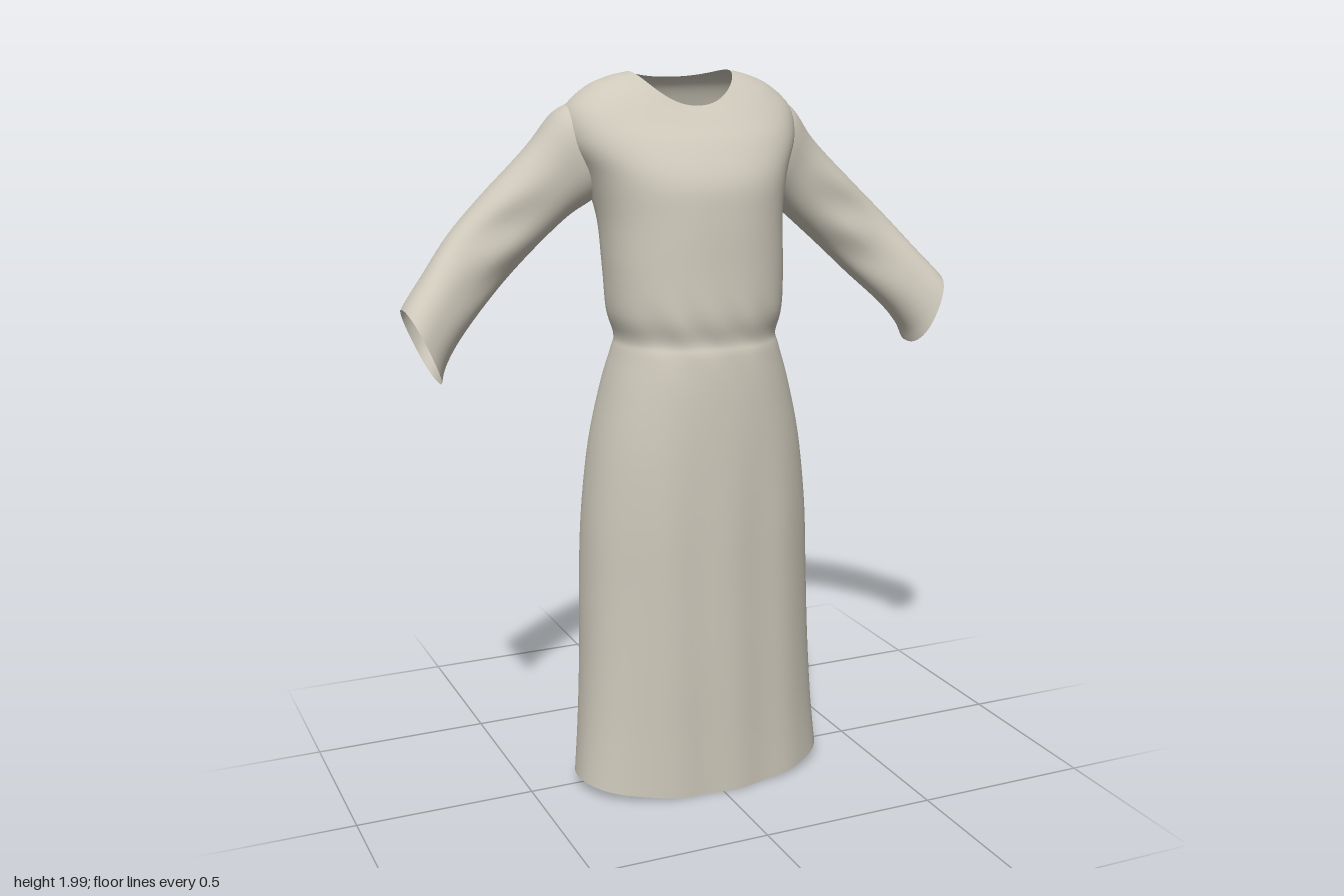
import * as THREE from 'three';

const cloth = new THREE.MeshStandardMaterial({ color: 0xcdc8ba, side: THREE.DoubleSide });
cloth.name = 'undyed cloth';

// Smoothly resample rows of section parameters
function smoothRows(rows, steps) {
  const out = [];
  for (let i = 0; i < rows.length - 1; i++) {
    const a = rows[Math.max(i - 1, 0)], b = rows[i], c = rows[i + 1], d = rows[Math.min(i + 2, rows.length - 1)];
    for (let s = 0; s < steps; s++) {
      const t = s / steps;
      out.push(b.map((v, k) => v + 0.5 * t * (c[k] - a[k] + t * (2 * a[k] - 5 * v + 4 * c[k] - d[k] + t * (3 * (v - c[k]) + d[k] - a[k])))));
    }
  }
  out.push(rows[rows.length - 1]);
  return out;
}

// Open tube skinned over closed rings; pointAt(row, angle) gives [x, y, z]
function loft(name, rows, sides, pointAt, flip) {
  const pos = [], index = [];
  rows.forEach((row, i) => {
    for (let j = 0; j < sides; j++) {
      pos.push(...pointAt(row, (j / sides) * Math.PI * 2));
      if (i === rows.length - 1) continue;
      const k = (j + 1) % sides;
      const a = i * sides + j, b = i * sides + k, c = a + sides, d = b + sides;
      if (flip) index.push(a, c, b, b, c, d);
      else index.push(a, b, c, b, d, c);
    }
  });
  const geo = new THREE.BufferGeometry();
  geo.setAttribute('position', new THREE.Float32BufferAttribute(pos, 3));
  geo.setIndex(index);
  geo.computeVertexNormals();
  const mesh = new THREE.Mesh(geo, cloth);
  mesh.name = name;
  return mesh;
}

const rounded = (v, n) => Math.sign(v) * Math.pow(Math.abs(v), 2 / n);

// Gown sections: half width, z front, z side, z back, y front, y side, y back
const gownRows = [
  [0.37, 0.22, 0.03, -0.16, 0.005, 0.04, 0.02],
  [0.355, 0.222, 0.02, -0.168, 0.18, 0.2, 0.19],
  [0.343, 0.226, 0.01, -0.178, 0.4, 0.4, 0.4],
  [0.337, 0.228, 0, -0.183, 0.6, 0.6, 0.6],
  [0.327, 0.23, 0, -0.187, 0.8, 0.8, 0.8],
  [0.302, 0.228, 0, -0.188, 1, 1, 1],
  [0.265, 0.222, 0, -0.172, 1.16, 1.16, 1.16],
  [0.235, 0.212, 0, -0.145, 1.26, 1.26, 1.26],
  [0.226, 0.202, 0, -0.138, 1.3, 1.3, 1.3],
  [0.245, 0.211, 0, -0.158, 1.37, 1.37, 1.37],
  [0.25, 0.205, -0.005, -0.195, 1.49, 1.49, 1.49],
  [0.256, 0.198, -0.03, -0.216, 1.62, 1.62, 1.62],
  [0.285, 0.183, -0.07, -0.226, 1.72, 1.73, 1.74],
  [0.33, 0.13, -0.1, -0.226, 1.81, 1.82, 1.83],
  [0.325, 0.085, -0.11, -0.208, 1.86, 1.9, 1.9],
  [0.265, 0.062, -0.11, -0.192, 1.885, 1.957, 1.945],
  [0.2, 0.047, -0.105, -0.172, 1.9, 1.985, 1.97],
  [0.145, 0.037, -0.1, -0.155, 1.91, 1.997, 1.978]
];

function gownPoint([w, zf, zs, zb, yf, ys, yb], t) {
  const c = Math.cos(t), s = Math.sin(t);
  const x = w * rounded(c, 2.25);
  let z = zs + rounded(s, 2.25) * (s > 0 ? zf - zs : zs - zb);
  const y = ys + ((s > 0 ? yf : yb) - ys) * s * s;
  // soft vertical folds in the skirt, gathers around the waist
  const skirt = THREE.MathUtils.smoothstep(1.2 - y, 0, 0.5);
  const gather = Math.exp(-Math.pow((y - 1.33) / 0.07, 2));
  z += s * (0.004 * skirt * Math.sin(x * 34 + y * 1.5) + 0.004 * gather * Math.sin(x * 60 + y * 30));
  return [x, y, z];
}

// Sleeve sections: upper x, y, lower x, y, z back, z front
const sleeveRows = [
  [0.275, 1.925, 0.235, 1.67, -0.21, -0.02],
  [0.345, 1.895, 0.265, 1.65, -0.222, -0.025],
  [0.42, 1.805, 0.325, 1.61, -0.225, -0.045],
  [0.55, 1.68, 0.43, 1.52, -0.215, -0.052],
  [0.65, 1.582, 0.545, 1.412, -0.192, -0.04],
  [0.735, 1.482, 0.645, 1.315, -0.16, 0.01],
  [0.78, 1.43, 0.695, 1.25, -0.142, 0.04],
  [0.8, 1.405, 0.712, 1.205, -0.13, 0.054]
];

function sleevePoint([ux, uy, lx, ly, zb, zf], t, side) {
  const u = rounded(Math.cos(t), 2.3), v = rounded(Math.sin(t), 2.3);
  const x = (ux + lx) / 2 + u * (ux - lx) / 2;
  const y = (uy + ly) / 2 + u * (uy - ly) / 2;
  // shallow creases on the inside of the elbow
  const crease = Math.exp(-Math.pow((x - 0.52) / 0.09, 2)) * 0.006 * Math.sin(y * 45 + x * 15);
  return [side * x, y, (zb + zf) / 2 + v * ((zf - zb) / 2 + crease)];
}

export function createModel() {
  const robe = new THREE.Group();
  robe.name = 'robe';
  robe.add(loft('gown', smoothRows(gownRows, 5), 96, gownPoint, true));
  for (const side of [1, -1]) {
    robe.add(loft(side > 0 ? 'leftSleeve' : 'rightSleeve', smoothRows(sleeveRows, 5), 48,
      (row, t) => sleevePoint(row, t, side), side < 0));
  }
  return robe;
}
